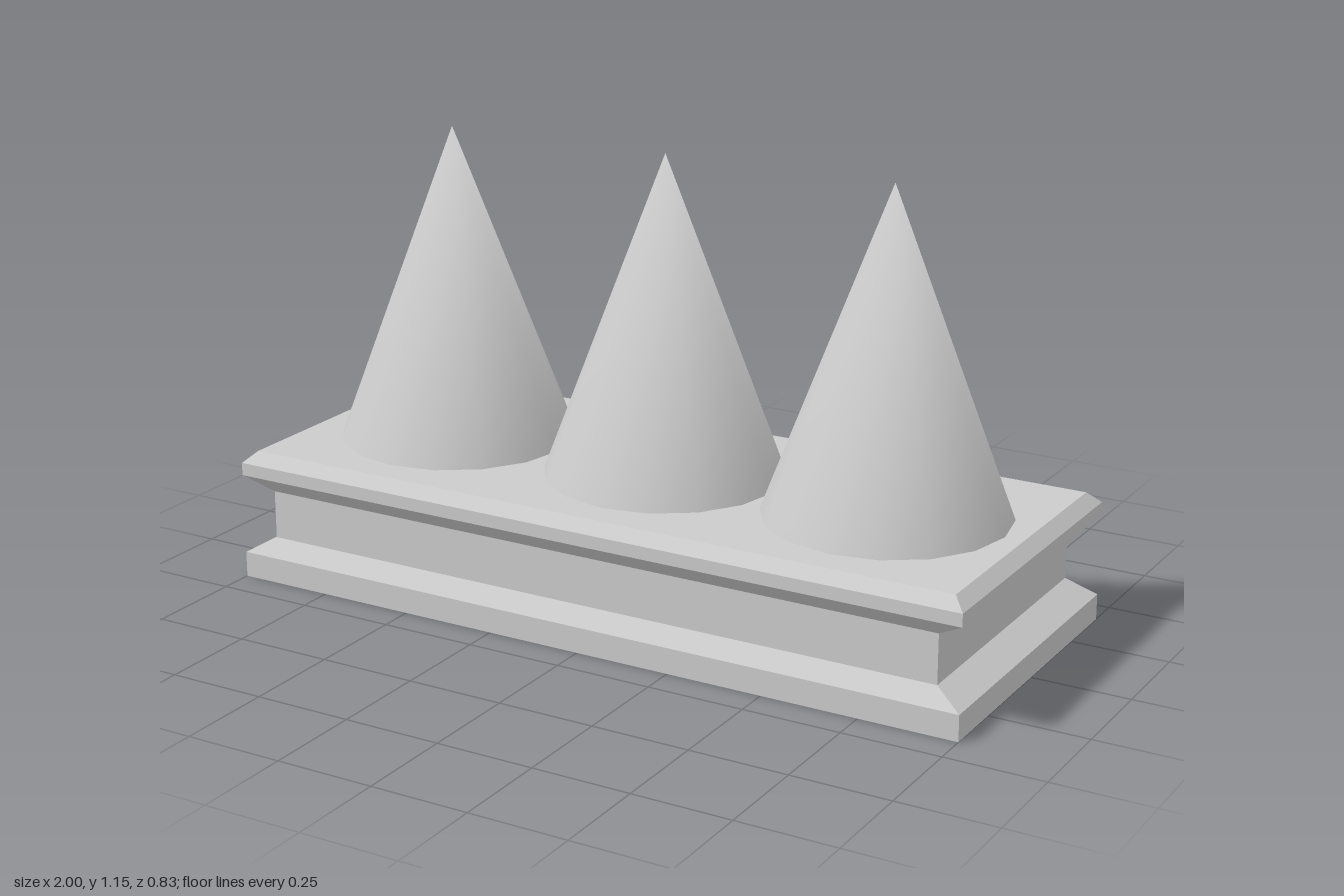
import * as THREE from 'three';
import { mergeVertices } from 'three/addons/utils/BufferGeometryUtils.js';

const grey = (options = {}) =>
  new THREE.MeshStandardMaterial({ color: 0xcccccc, side: THREE.DoubleSide, ...options });

// Moulded plinth: rectangular rings [y, half width, half depth], open underneath
function plinthGeometry() {
  const sections = [
    [0, 1, 0.413],
    [0.066, 1, 0.413],
    [0.108, 0.928, 0.376],
    [0.233, 0.928, 0.376],
    [0.275, 1, 0.413],
    [0.308, 1, 0.413],
    [0.337, 0.969, 0.384],
  ];
  const positions = [];
  const indices = [];
  for (const [y, w, d] of sections) {
    positions.push(-w, y, d, w, y, d, w, y, -d, -w, y, -d);
  }
  for (let s = 0; s < sections.length - 1; s++) {
    for (let i = 0; i < 4; i++) {
      const a = s * 4 + i;
      const b = s * 4 + (i + 1) % 4;
      indices.push(a, b, b + 4, a, b + 4, a + 4);
    }
  }
  // Flat top
  const t = (sections.length - 1) * 4;
  indices.push(t, t + 1, t + 2, t, t + 2, t + 3);

  const geometry = new THREE.BufferGeometry();
  geometry.setAttribute('position', new THREE.Float32BufferAttribute(positions, 3));
  geometry.setIndex(indices);
  const flat = geometry.toNonIndexed();
  flat.computeVertexNormals();
  return flat;
}

// Open 16-sided cone, smoothed across its shared tip, sunk slightly through the plinth top
function spikeGeometry(bottom, tip) {
  const cone = new THREE.ConeGeometry(0.312, tip - bottom, 16, 1, true);
  cone.translate(0, (tip + bottom) / 2, 0);
  cone.deleteAttribute('normal');
  cone.deleteAttribute('uv');
  const smooth = mergeVertices(cone, 1e-4);
  smooth.computeVertexNormals();
  return smooth;
}

export function createModel() {
  const model = new THREE.Group();
  model.name = 'spikedPlinth';

  const plinth = new THREE.Mesh(plinthGeometry(), grey({ flatShading: true }));
  plinth.name = 'plinth';
  model.add(plinth);

  // Row of three spikes
  const geometry = spikeGeometry(0.318, 1.147);
  const material = grey();
  const spikes = { rightSpike: -0.613, middleSpike: 0.006, leftSpike: 0.616 };
  for (const [name, x] of Object.entries(spikes)) {
    const spike = new THREE.Mesh(geometry, material);
    spike.name = name;
    spike.position.x = x;
    model.add(spike);
  }
  return model;
}
